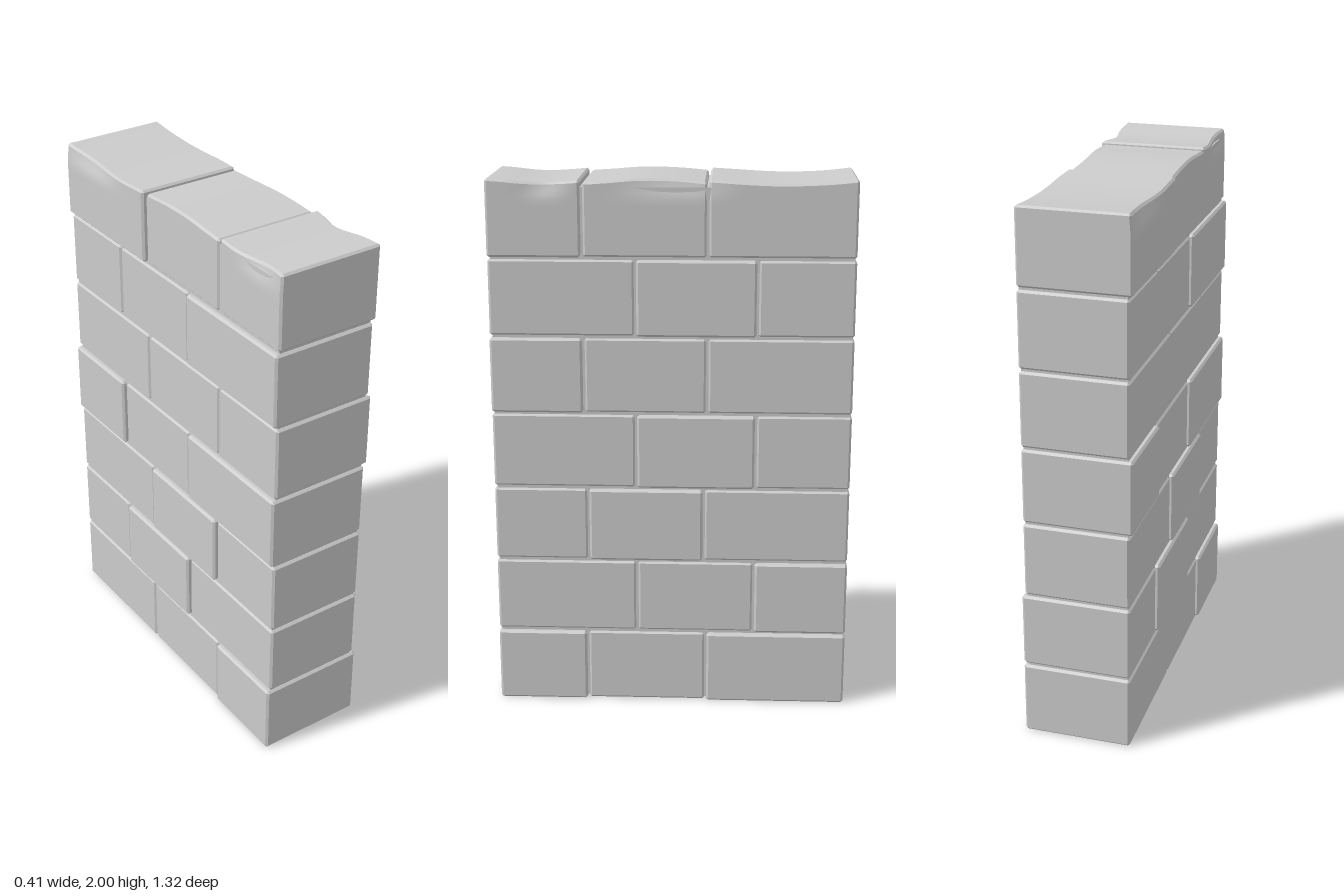
import * as THREE from 'three';
import { toCreasedNormals } from 'three/addons/utils/BufferGeometryUtils.js';

const material = new THREE.MeshStandardMaterial({ color: 0xcccccc });
const HALF_Z = 0.66, FLUSH = 0.195, PROUD = 0.207;
const BRICK_H = 0.278, PITCH = (2 - BRICK_H) / 6, GAP = 0.008, BEVEL = 0.008;

// Joints along z (front to back); bricks standing proud on the +x and -x sides
const rows = [
  { joints: [0.32, -0.13], left: [0, 2], right: [0] },
  { joints: [0.13, -0.31], left: [2], right: [1] },
  { joints: [0.31, -0.12], left: [1], right: [1] },
  { joints: [0.13, -0.31], left: [1], right: [0, 2] },
  { joints: [0.32, -0.13], left: [0], right: [] },
  { joints: [0.13, -0.31], left: [1], right: [0] },
  { joints: [0.32, -0.13], left: [0], right: [2] },
];

// Worn top: heights from front to back, and chips [z, half length, depth] per side
const topWear = [
  [0, -0.004, -0.011, -0.014, -0.011, -0.005],
  [-0.014, -0.008, -0.001, 0, -0.004, -0.012],
  [-0.004, -0.009, -0.014, -0.016, -0.014, -0.009, 0],
].map(h => new THREE.CatmullRomCurve3(h.map((y, i) => new THREE.Vector3(i, y, 0))));
const chips = {
  left: [[0.0, 0.28, 0.018], [0.45, 0.12, 0.016]],
  right: [[-0.5, 0.25, 0.018], [0.54, 0.16, 0.016]],
};

// Box with chamfered edges, its outer grid lines pulled in to the bevel width
function chamferedBox(size, segments) {
  const geo = new THREE.BoxGeometry(...size, ...segments);
  const pos = geo.attributes.position;
  for (let i = 0; i < pos.count; i++) {
    const p = [pos.getX(i), pos.getY(i), pos.getZ(i)];
    const step = p.map((v, a) => Math.round((v / size[a] + 0.5) * segments[a]));
    const outer = step.map((k, a) => k === 0 || k === segments[a]);
    const m = outer.filter(Boolean).length;
    const q = p.map((v, a) => {
      const half = size[a] / 2;
      if (outer[a]) return Math.sign(v) * (half - BEVEL * (m - 1) / m);
      return ((step[a] - 1) / (segments[a] - 2) * 2 - 1) * (half - BEVEL);
    });
    pos.setXYZ(i, ...q);
  }
  return geo;
}

// Lower the top along its wavy profile and press in the chipped upper edges
function wearTop(geo, curve, zFront, zBack) {
  const pos = geo.attributes.position;
  for (let i = 0; i < pos.count; i++) {
    let x = pos.getX(i), y = pos.getY(i);
    const z = pos.getZ(i);
    const t = THREE.MathUtils.clamp((zFront - z) / (zFront - zBack), 0, 1);
    const nearTop = THREE.MathUtils.smoothstep(y, 1.92, 2);
    if (Math.abs(x) > 0.17) {
      const side = x > 0 ? 'left' : 'right';
      for (const [cz, len, depth] of chips[side]) {
        const d = Math.abs(z - cz) / len;
        if (d < 1) x -= Math.sign(x) * depth * nearTop * Math.cos(d * Math.PI / 2) ** 2;
      }
    }
    if (y > 1.9) y += curve.getPoint(t).y * nearTop;
    pos.setXYZ(i, x, y, z);
  }
}

export function createModel() {
  const wall = new THREE.Group();
  wall.name = 'brickWall';

  // Mortar filling the joints
  const core = new THREE.Mesh(new THREE.BoxGeometry(0.376, 1.96, 1.3), material);
  core.name = 'mortar';
  core.position.y = 0.99;
  wall.add(core);

  rows.forEach((row, r) => {
    const course = new THREE.Group();
    course.name = `course${r + 1}`;
    const isTop = r === rows.length - 1;
    const ends = [HALF_Z + GAP / 2, ...row.joints, -HALF_Z - GAP / 2];
    for (let b = 0; b < 3; b++) {
      const zFront = ends[b] - GAP / 2, zBack = ends[b + 1] + GAP / 2;
      const x1 = row.left.includes(b) ? PROUD : FLUSH;
      const x0 = row.right.includes(b) ? -PROUD : -FLUSH;
      const geo = chamferedBox([x1 - x0, BRICK_H, zFront - zBack], isTop ? [5, 14, 22] : [3, 3, 3]);
      geo.translate((x0 + x1) / 2, r * PITCH + BRICK_H / 2, (zFront + zBack) / 2);
      if (isTop) wearTop(geo, topWear[b], zFront, zBack);
      const brick = new THREE.Mesh(toCreasedNormals(geo, 0.5), material);
      brick.name = `brick${r + 1}_${b + 1}`;
      course.add(brick);
    }
    wall.add(course);
  });
  return wall;
}
